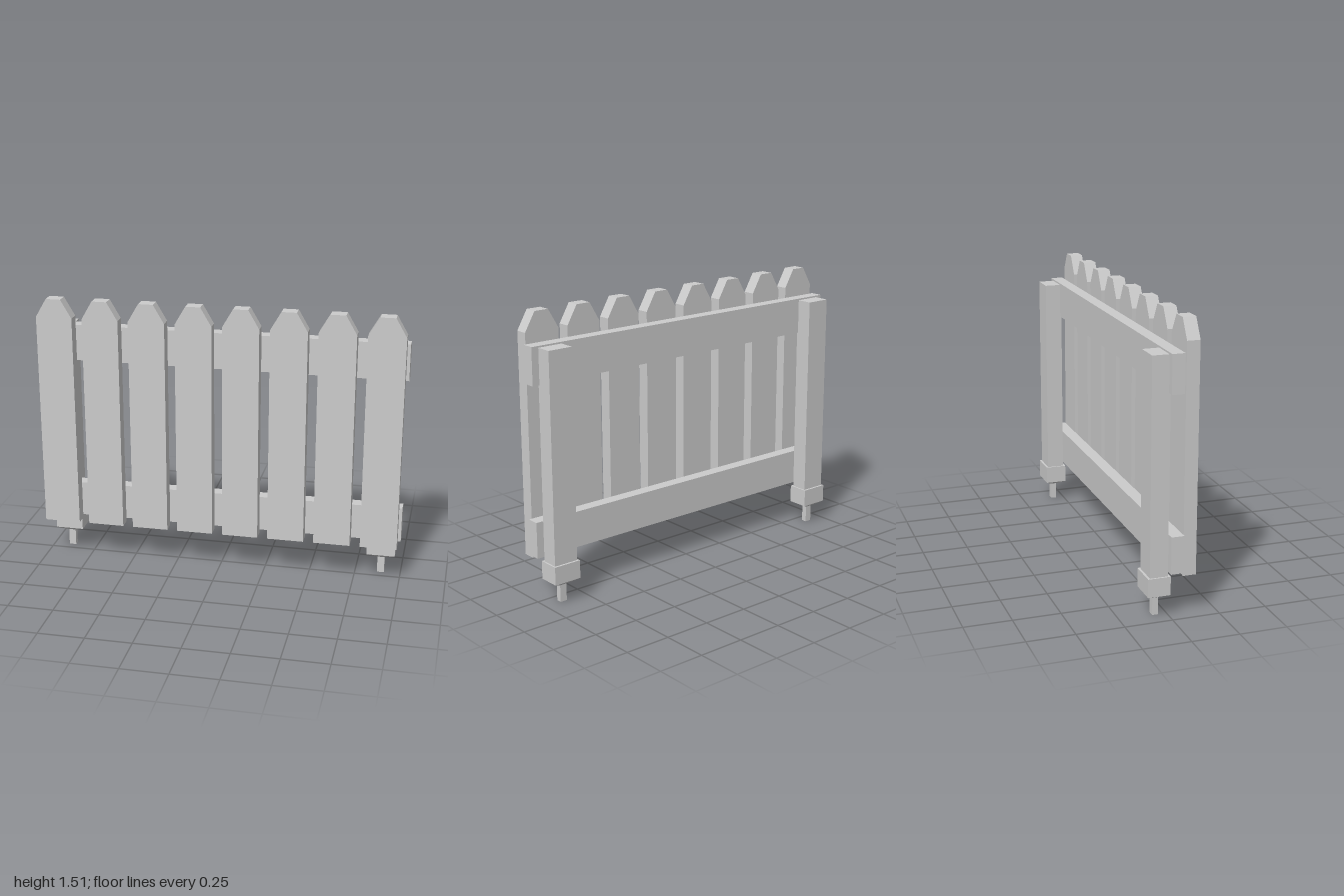
import * as THREE from 'three';

const material = new THREE.MeshStandardMaterial({ color: 0xcccccc, flatShading: true });

function add(parent, name, geometry, x = 0, y = 0, z = 0) {
  const mesh = new THREE.Mesh(geometry, material);
  mesh.name = name;
  mesh.position.set(x, y, z);
  parent.add(mesh);
  return mesh;
}

// Box given by its centre x, width and its y and z limits
function addBox(parent, name, x, width, y0, y1, z0, z1) {
  const geometry = new THREE.BoxGeometry(width, y1 - y0, z1 - z0);
  return add(parent, name, geometry, x, (y0 + y1) / 2, (z0 + z1) / 2);
}

// Board with a clipped, tapering top
function picketGeometry() {
  const shape = new THREE.Shape([
    [-0.099, 0.223], [0.099, 0.223], [0.099, 1.407],
    [0.04, 1.508], [-0.04, 1.508], [-0.099, 1.407],
  ].map(([x, y]) => new THREE.Vector2(x, y)));
  return new THREE.ExtrudeGeometry(shape, { depth: 0.068, bevelEnabled: false });
}

// Four-sided taper between the ground socket and its spike
function taperGeometry() {
  const geometry = new THREE.CylinderGeometry(Math.SQRT1_2, Math.SQRT1_2 * 0.26, 0.029, 4);
  geometry.rotateY(Math.PI / 4);
  geometry.scale(0.155, 1, 0.118);
  return geometry;
}

function createPost(x) {
  const post = new THREE.Group();
  post.name = 'postAssembly';
  post.position.x = x;
  addBox(post, 'post', 0, 0.138, 0.2, 1.343, -0.108, -0.014);
  addBox(post, 'groundSocket', 0, 0.155, 0.122, 0.22, -0.12, -0.002);
  add(post, 'socketTaper', taperGeometry(), 0, 0.1075, -0.061);
  addBox(post, 'groundSpike', 0, 0.039, 0, 0.095, -0.076, -0.046);
  return post;
}

export function createModel() {
  const fence = new THREE.Group();
  fence.name = 'picketFence';

  // Row of pickets on the front
  const picket = picketGeometry();
  for (let i = 0; i < 8; i++) add(fence, 'picket', picket, -0.89 + i * 0.2535, 0, 0.055);

  // Horizontal rails
  addBox(fence, 'upperRail', 0, 2, 1.154, 1.352, -0.021, 0.045);
  addBox(fence, 'lowerRail', 0, 2, 0.243, 0.438, -0.012, 0.055);

  // Posts standing in spiked ground sockets
  for (const x of [-0.894, 0.891]) fence.add(createPost(x));

  return fence;
}
